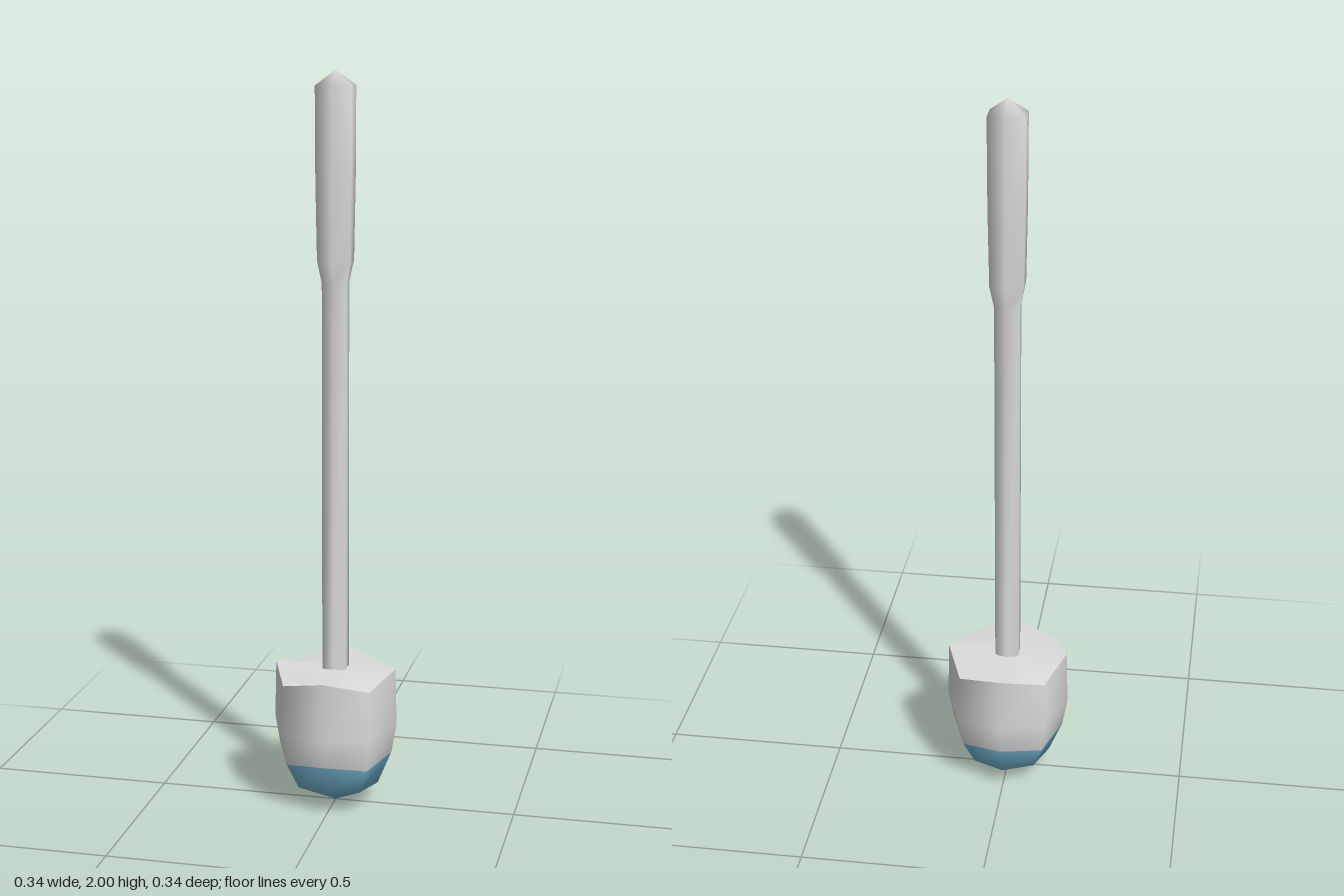
import * as THREE from 'three';

// Smooth loft through rings [radius, y, dip, material]; dip lowers every odd corner.
// A radius of 0 becomes one shared tip. Rings run from bottom to top.
function loft(rings, sides) {
  const pos = [], index = [], geo = new THREE.BufferGeometry();
  const rows = rings.map(([r, y, dip = 0]) => {
    const start = pos.length / 3, count = r === 0 ? 1 : sides;
    for (let j = 0; j < count; j++) {
      const a = (j / sides) * Math.PI * 2;
      pos.push(r * Math.sin(a), j % 2 ? y - dip : y, r * Math.cos(a));
    }
    return (j) => start + (j % count);
  });
  for (let i = 0; i < rows.length - 1; i++) {
    const first = index.length;
    for (let j = 0; j < sides; j++) {
      const a = rows[i](j), b = rows[i](j + 1), c = rows[i + 1](j + 1), d = rows[i + 1](j);
      if (a !== b) index.push(a, b, c);
      if (c !== d) index.push(a, c, d);
    }
    geo.addGroup(first, index.length - first, rings[i][3] ?? 0);
  }
  geo.setAttribute('position', new THREE.Float32BufferAttribute(pos, 3));
  geo.setIndex(index);
  geo.computeVertexNormals();
  return geo;
}

export function createModel() {
  const group = new THREE.Group();
  const grey = new THREE.MeshStandardMaterial({ color: 0xdcdcdc });
  grey.name = 'light grey';
  const blue = new THREE.MeshStandardMaterial({ color: 0x72b3d0 });
  blue.name = 'soft blue';

  const add = (name, geo) => {
    const mesh = new THREE.Mesh(geo, [grey, blue]);
    mesh.name = name;
    group.add(mesh);
  };

  // Eight-sided head with a blue tip
  add('head', loft([
    [0, 0, 0, 1],
    [0.12, 0.06, 0, 1],
    [0.158, 0.153, 0.018, 0],
    [0.172, 0.235, 0.01, 0],
    [0.168, 0.393, 0.03, 0],
  ], 8));

  // Creased top of the head
  add('headTop', loft([[0.168, 0.393, 0.03], [0, 0.393]], 8));

  // Six-sided shaft widening into a grip with a pointed end
  add('shaftAndGrip', loft([
    [0.038, 0.37],
    [0.038, 1.45],
    [0.051, 1.51],
    [0.055, 1.72],
    [0.056, 1.96],
    [0, 2],
  ], 6));

  return group;
}
